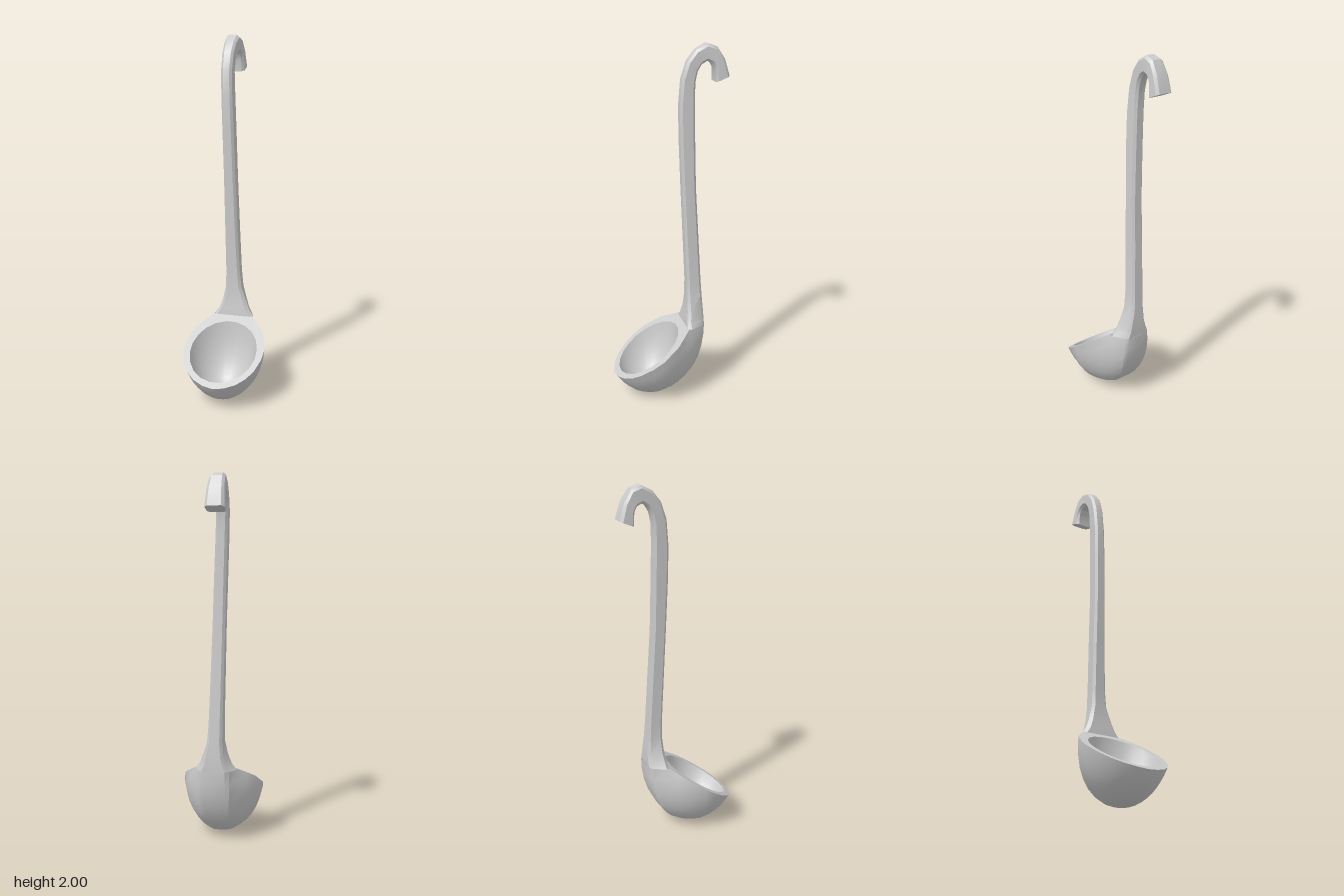
import * as THREE from 'three';
import { toCreasedNormals } from 'three/addons/utils/BufferGeometryUtils.js';

const material = new THREE.MeshStandardMaterial({ color: 0xcccccc, side: THREE.DoubleSide });

// Skin a list of equal-sized closed rings; optionally close the last one.
function loft(rings, capEnd = false) {
  const n = rings[0].length, index = [];
  for (let i = 0; i < rings.length - 1; i++) {
    for (let j = 0; j < n; j++) {
      const a = i * n + j, b = i * n + (j + 1) % n;
      index.push(a, b, b + n, a, b + n, a + n);
    }
  }
  const last = (rings.length - 1) * n;
  if (capEnd) for (let j = 1; j < n - 1; j++) index.push(last, last + j, last + j + 1);
  const geometry = new THREE.BufferGeometry();
  geometry.setAttribute('position', new THREE.Float32BufferAttribute(rings.flat(2), 3));
  geometry.setIndex(index);
  return toCreasedNormals(geometry, 0.6);
}

// Height of the tilted rim plane, levelling off at the neck.
const rimY = z => Math.min(0.42, 0.14 + (0.33 - z) * 0.667);

// Rings of a bowl: each rim point [x, z, degrees] runs down its own arc to the bottom.
function bowlRings(outline, zc, bottom, steps = 9) {
  const rings = [];
  for (let i = 0; i <= steps; i++) {
    rings.push(outline.map(([x, z, degrees]) => {
      const phi = degrees * Math.PI / 180, a = phi * i / steps;
      const r = Math.sin(a) / Math.sin(phi);
      const h = (1 - Math.cos(a)) / (1 - Math.cos(phi));
      return [x * r, bottom + (rimY(z) - bottom) * h, zc + (z - zc) * r];
    }));
  }
  return rings;
}

export function createModel() {
  const group = new THREE.Group();
  const add = (name, geometry) => {
    const mesh = new THREE.Mesh(geometry, material);
    mesh.name = name;
    group.add(mesh);
  };

  // Outer bowl: half outline from front to back, mirrored
  const half = [
    [0, 0.33, 50], [0.06, 0.32, 50], [0.12, 0.295, 53], [0.165, 0.26, 57], [0.2, 0.215, 62],
    [0.225, 0.15, 72], [0.23, 0.095, 85], [0.2, 0.005, 97], [0.155, -0.045, 110],
    [0.115, -0.085, 116], [0.085, -0.17, 100], [0.065, -0.19, 92], [0, -0.192, 92],
  ];
  const mirror = list => list.map(([x, z, d]) => [-x, z, d]).reverse();
  const outline = [...half, ...mirror(half.slice(1, -1))];
  add('bowlOuter', loft(bowlRings(outline, 0.11, 0)));

  // Hollow of the bowl
  const hollow = [];
  for (let i = 0; i < 20; i++) {
    const a = (i + 0.5) / 20 * Math.PI * 2;
    hollow.push([0.19 * Math.sin(a), 0.125 + 0.172 * Math.cos(a), 68 - 18 * Math.cos(a)]);
  }
  add('bowlInner', loft(bowlRings(hollow, 0.12, 0.035).reverse()));

  // Flat rim between the two, ending at the neck
  const flat = list => list.map(([x, z]) => new THREE.Vector2(x, -z));
  const front = half.slice(0, 10);
  const shape = new THREE.Shape(flat([...front, ...mirror(front.slice(1))]));
  shape.holes.push(new THREE.Path(flat(hollow)));
  const rim = new THREE.ShapeGeometry(shape);
  const p = rim.attributes.position;
  for (let i = 0; i < p.count; i++) {
    const z = -p.getY(i);
    p.setXYZ(i, p.getX(i), rimY(z), z);
  }
  rim.computeVertexNormals();
  add('bowlRim', rim);

  // Handle sections: outer edge z, y; inner edge z, y; centre x; half widths outer, inner; chamfer
  const sections = [
    [-0.083, 0.415, -0.19, 0.42, 0, 0.116, 0.085, 0.02],
    [-0.087, 0.45, -0.191, 0.45, 0, 0.09, 0.07, 0.018],
    [-0.095, 0.5, -0.19, 0.5, 0, 0.07, 0.056, 0.016],
    [-0.1, 0.58, -0.187, 0.58, -0.006, 0.046, 0.042, 0.014],
    [-0.1, 0.68, -0.181, 0.68, -0.01, 0.04, 0.038, 0.013],
    [-0.088, 0.95, -0.167, 0.95, -0.017, 0.036, 0.036, 0.013],
    [-0.075, 1.23, -0.152, 1.23, -0.023, 0.033, 0.034, 0.013],
    [-0.065, 1.5, -0.147, 1.5, -0.03, 0.032, 0.033, 0.013],
    [-0.063, 1.68, -0.145, 1.7, -0.036, 0.031, 0.032, 0.013],
    [-0.075, 1.82, -0.148, 1.8, -0.04, 0.031, 0.032, 0.013],
    [-0.105, 1.91, -0.16, 1.858, -0.04, 0.032, 0.033, 0.013],
    [-0.15, 1.968, -0.18, 1.893, -0.039, 0.034, 0.035, 0.013],
    [-0.21, 2, -0.208, 1.91, -0.038, 0.037, 0.039, 0.014],
    [-0.262, 1.983, -0.236, 1.898, -0.038, 0.041, 0.043, 0.014],
    [-0.303, 1.92, -0.252, 1.87, -0.037, 0.046, 0.047, 0.014],
    [-0.33, 1.83, -0.255, 1.8, -0.037, 0.051, 0.05, 0.014],
  ];
  const rings = sections.map(([zo, yo, zi, yi, xc, wo, wi, c]) => {
    const k = c / Math.hypot(zi - zo, yi - yo);
    const side = [[0, wo - c], [k, wo], [1 - k, wi], [1, wi - c]];
    const at = ([u, x]) => [xc + x, yo + (yi - yo) * u, zo + (zi - zo) * u];
    return [...side, ...side.map(([u, x]) => [u, -x]).reverse()].map(at);
  });
  add('handle', loft(rings, true));
  return group;
}
